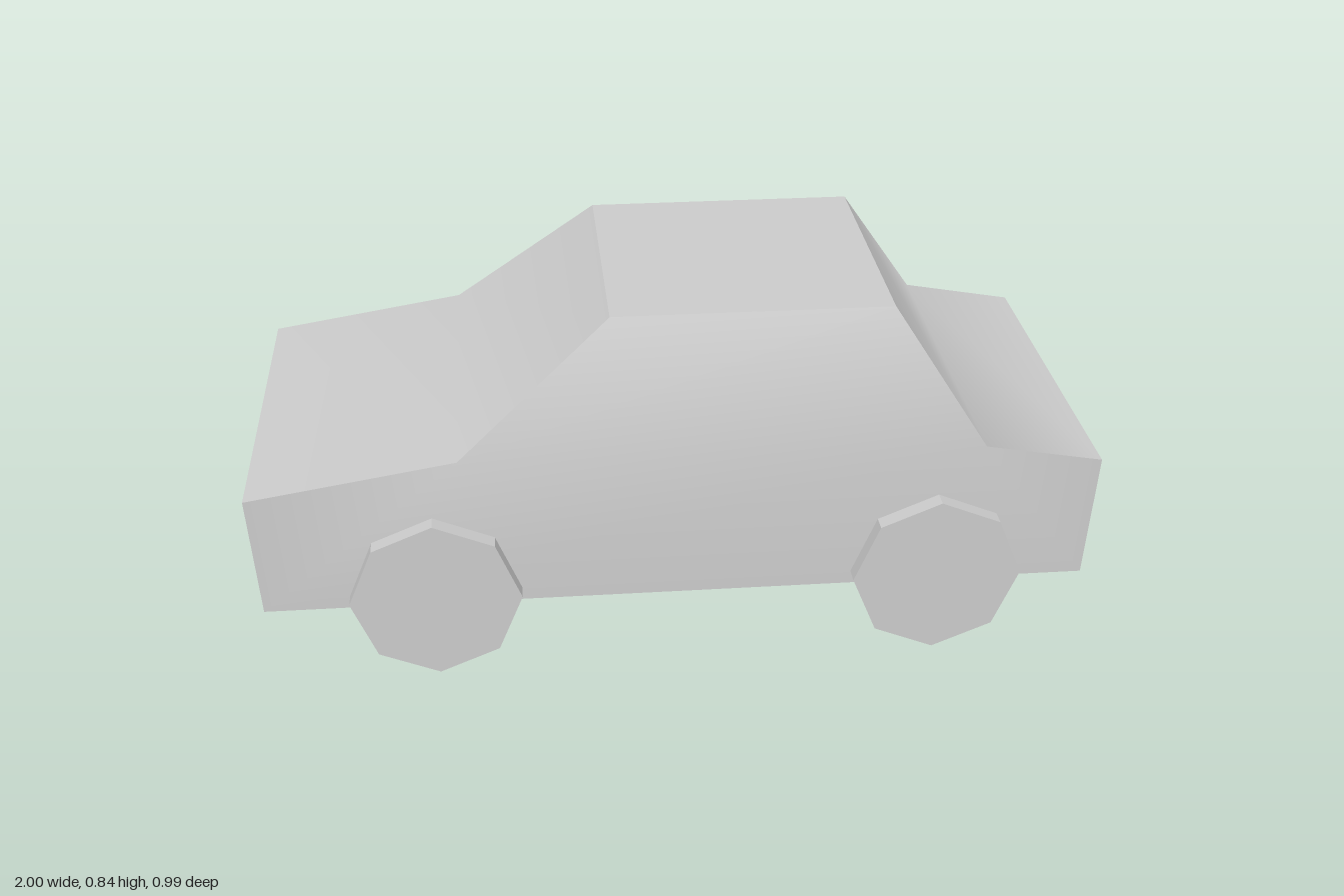
import * as THREE from 'three';

const material = new THREE.MeshStandardMaterial({ color: 0xcccccc });

// Body half widths at the belt line and at the roof
const BODY_Z = 0.456;
const ROOF_Z = 0.339;

// Side profile stations: [x, y, half width]
const P = {
  sillFront: [-0.98, 0.17, BODY_Z],
  sillRear: [0.98, 0.17, BODY_Z],
  tail: [1, 0.48, BODY_Z],
  windowRear: [0.72, 0.53, BODY_Z],
  roofRear: [0.51, 0.845, ROOF_Z],
  roofFront: [-0.15, 0.845, ROOF_Z],
  windowFront: [-0.51, 0.55, BODY_Z],
  nose: [-1, 0.47, BODY_Z],
};

function panel(name, points, index) {
  const geometry = new THREE.BufferGeometry();
  geometry.setAttribute('position', new THREE.Float32BufferAttribute(points.flat(), 3));
  geometry.setIndex(index);
  geometry.computeVertexNormals();
  const mesh = new THREE.Mesh(geometry, material);
  mesh.name = name;
  return mesh;
}

// Panel spanning the full width, smooth along its stations
function crossPanel(name, stations) {
  const points = stations.flatMap(([x, y, z]) => [[x, y, z], [x, y, -z]]);
  const index = [];
  for (let i = 0; i < stations.length - 1; i++) {
    const a = i * 2;
    index.push(a, a + 2, a + 1, a + 1, a + 2, a + 3);
  }
  return panel(name, points, index);
}

// Flat lower flank blending into the leaning cabin side
function sidePanel(name, side) {
  const stations = [P.sillFront, P.sillRear, P.tail, P.windowRear, P.windowFront, P.nose, P.roofRear, P.roofFront];
  const points = stations.map(([x, y, z]) => [x, y, z * side]);
  const triangles = [[0, 1, 3], [1, 2, 3], [0, 3, 4], [0, 4, 5], [4, 3, 6], [4, 6, 7]];
  return panel(name, points, triangles.flatMap((t) => (side > 0 ? t : [t[0], t[2], t[1]])));
}

function createBody() {
  const body = new THREE.Group();
  body.name = 'body';
  body.add(
    crossPanel('noseEnd', [P.sillFront, P.nose]),
    crossPanel('hoodAndWindshield', [P.nose, P.windowFront, P.roofFront]),
    crossPanel('roof', [P.roofFront, P.roofRear]),
    crossPanel('rearWindowAndTrunk', [P.roofRear, P.windowRear, P.tail]),
    crossPanel('tailEnd', [P.tail, P.sillRear]),
    crossPanel('floor', [P.sillRear, P.sillFront]),
    sidePanel('nearSide', 1),
    sidePanel('farSide', -1),
  );
  return body;
}

export function createModel() {
  const car = new THREE.Group();
  car.name = 'car';
  car.add(createBody());

  // Four octagonal wheels, with a corner pointing straight down
  const wheelMaterial = new THREE.MeshStandardMaterial({ color: 0xcccccc, flatShading: true });
  const wheelGeometry = new THREE.CylinderGeometry(0.202, 0.202, 0.178, 8).rotateX(Math.PI / 2);
  for (const [end, x] of [['front', -0.575], ['rear', 0.615]]) {
    for (const [label, side] of [['Near', 1], ['Far', -1]]) {
      const wheel = new THREE.Mesh(wheelGeometry, wheelMaterial);
      wheel.name = `${end}${label}Wheel`;
      wheel.position.set(x, 0.203, side * 0.408);
      car.add(wheel);
    }
  }
  return car;
}
